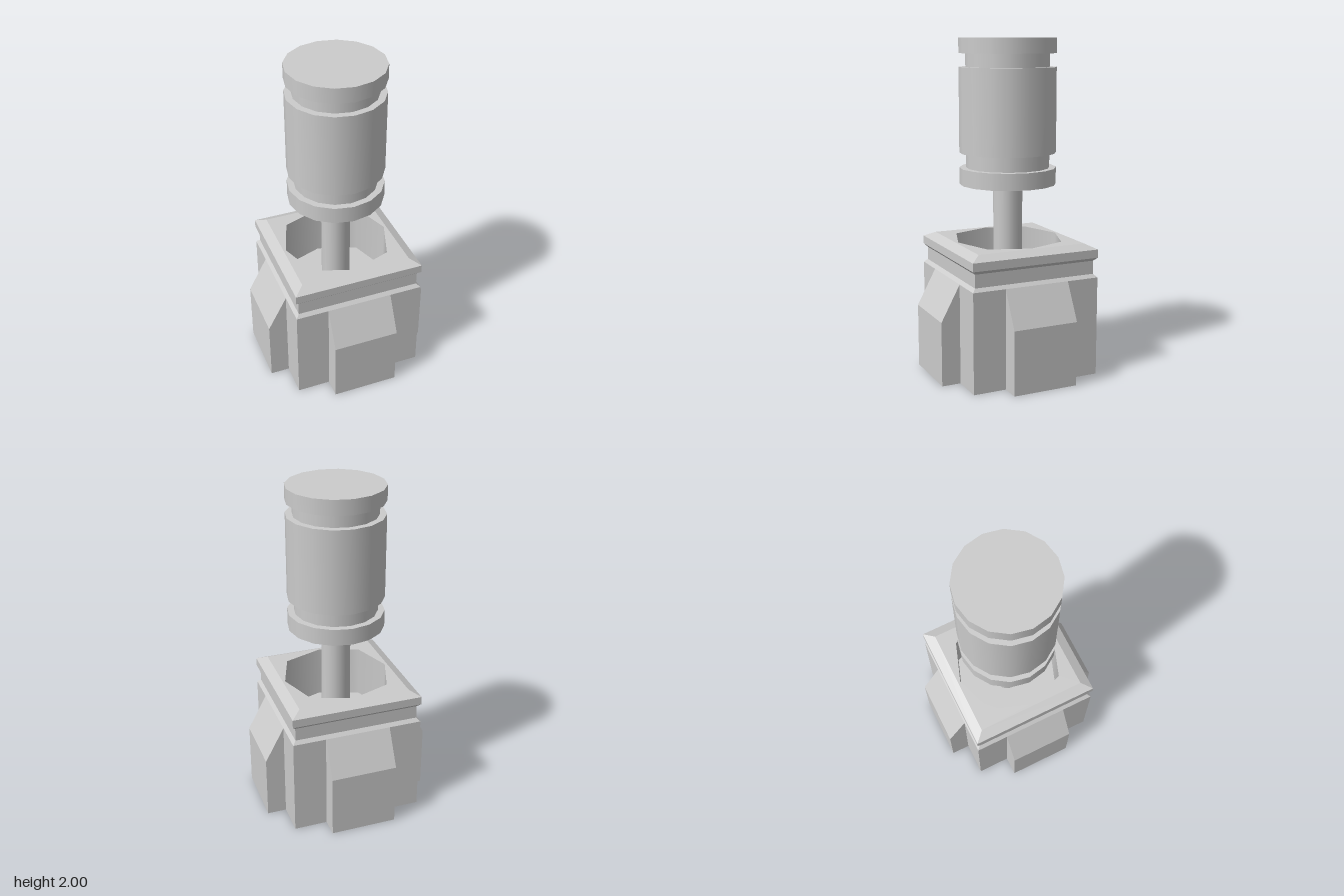
import * as THREE from 'three';

export function createModel() {
  const model = new THREE.Group();
  const smooth = new THREE.MeshStandardMaterial({ color: 0xcccccc });
  const flat = new THREE.MeshStandardMaterial({ color: 0xcccccc, flatShading: true, side: THREE.DoubleSide });
  const open = new THREE.MeshStandardMaterial({ color: 0xcccccc, side: THREE.DoubleSide });

  const add = (name, geometry, material, parent = model) => {
    const mesh = new THREE.Mesh(geometry, material);
    mesh.name = name;
    parent.add(mesh);
    return mesh;
  };

  // Turned head: wide drums separated by narrow grooves
  const head = new THREE.Group();
  head.name = 'head';
  model.add(head);
  const drum = (name, r, y0, y1) => {
    const g = new THREE.CylinderGeometry(r, r, y1 - y0, 16);
    add(name, g.translate(0, (y0 + y1) / 2, 0), smooth, head);
  };
  drum('lowerRim', 0.29, 1.135, 1.235);
  drum('lowerGroove', 0.25, 1.235, 1.325);
  drum('barrel', 0.29, 1.325, 1.83);
  drum('upperGroove', 0.25, 1.83, 1.91);
  drum('upperRim', 0.29, 1.91, 2);

  // Hollow rod running down through the base
  const rod = new THREE.CylinderGeometry(0.088, 0.088, 1.135, 16, 1, true);
  add('rod', rod.translate(0, 1.135 / 2, 0), open);

  // Four-sided collar: half-width and height along its profile
  const profile = [[0.4, 0.6], [0.38, 0.62], [0.38, 0.7], [0.4, 0.72], [0.4, 0.77], [0.34, 0.8]]
    .map(([w, y]) => new THREE.Vector2(w * Math.SQRT2, y));
  add('collar', new THREE.LatheGeometry(profile, 4, Math.PI / 4).toNonIndexed(), flat);

  // Octagonal well: corners alternate between two radii
  const octagon = Array.from({ length: 8 }, (_, i) => {
    const a = i * Math.PI / 4, r = i % 2 ? 0.34 : 0.325;
    return new THREE.Vector2(r * Math.cos(a), r * Math.sin(a));
  });
  const top = new THREE.Shape([[-1, -1], [1, -1], [1, 1], [-1, 1]]
    .map(([x, y]) => new THREE.Vector2(x * 0.34, y * 0.34)));
  top.holes.push(new THREE.Path(octagon));
  add('topPlate', new THREE.ShapeGeometry(top).rotateX(-Math.PI / 2).translate(0, 0.8, 0), flat);

  const floorY = 0.48;
  add('wellFloor', new THREE.ShapeGeometry(new THREE.Shape(octagon))
    .rotateX(-Math.PI / 2).translate(0, floorY, 0), flat);
  const wall = new THREE.CylinderGeometry(0.325, 0.325, 0.8 - floorY, 8, 1, true);
  const p = wall.attributes.position;
  for (let i = 0; i < p.count; i++) {
    const diagonal = Math.abs(p.getX(i)) > 0.1 && Math.abs(p.getZ(i)) > 0.1;
    const s = diagonal ? 0.34 / 0.325 : 1;
    p.setXYZ(i, p.getX(i) * s, p.getY(i), p.getZ(i) * s);
  }
  add('wellWall', wall.translate(0, (0.8 + floorY) / 2, 0), open);

  // One side of the hollow base: two corner walls and a projecting buttress
  const positions = [];
  const quad = (a, b, c, d) => positions.push(...a, ...b, ...c, ...a, ...c, ...d);
  const strip = (x0, x1, y0, z0, y1, z1) =>
    quad([x0, y0, z0], [x1, y0, z0], [x1, y1, z1], [x0, y1, z1]);
  strip(-0.4, -0.2, 0, 0.4, 0.6, 0.4);
  strip(0.2, 0.4, 0, 0.4, 0.6, 0.4);
  strip(-0.2, 0.2, 0, 0.515, 0.385, 0.515);
  strip(-0.2, 0.2, 0.385, 0.515, 0.6, 0.4);
  quad([0.2, 0, 0.515], [0.2, 0, 0.4], [0.2, 0.6, 0.4], [0.2, 0.385, 0.515]);
  quad([-0.2, 0, 0.4], [-0.2, 0, 0.515], [-0.2, 0.385, 0.515], [-0.2, 0.6, 0.4]);
  const side = new THREE.BufferGeometry();
  side.setAttribute('position', new THREE.Float32BufferAttribute(positions, 3));
  side.computeVertexNormals();

  // Repeat the side around the base
  const base = new THREE.Group();
  base.name = 'base';
  model.add(base);
  ['front', 'left', 'back', 'right'].forEach((name, i) => {
    add(name + 'BaseSide', side, flat, base).rotation.y = i * Math.PI / 2;
  });

  return model;
}
